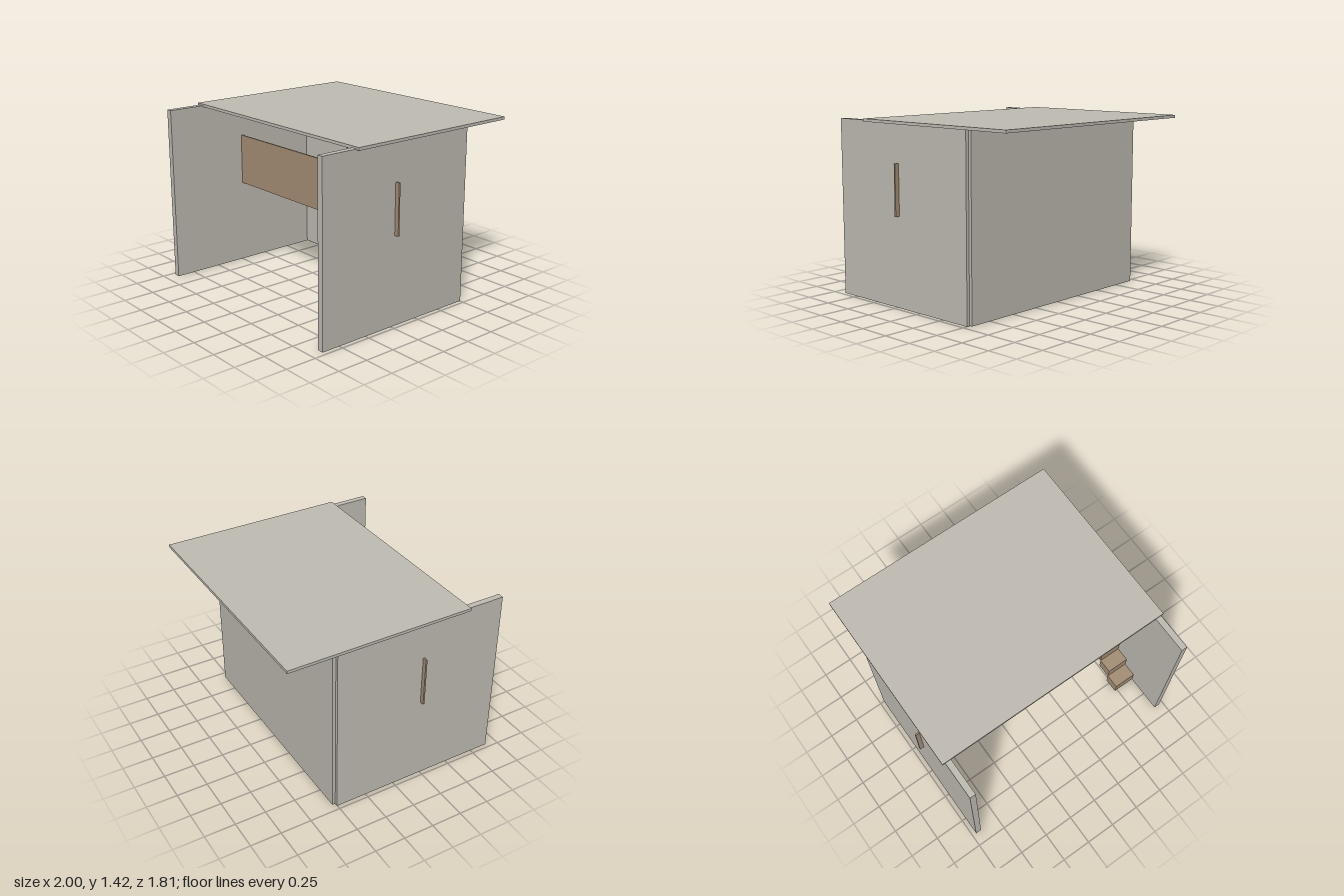
import * as THREE from 'three';

export function createModel() {
  const model = new THREE.Group();
  const plaster = new THREE.MeshStandardMaterial({ color: 0xc0bcb3 });
  plaster.name = 'warm grey plaster';
  const wood = new THREE.MeshStandardMaterial({ color: 0xa58f76 });
  wood.name = 'brown wood';

  // Box given by its minimum and maximum on each axis
  function block(name, material, [x0, x1], [y0, y1], [z0, z1], parent = model) {
    const mesh = new THREE.Mesh(new THREE.BoxGeometry(x1 - x0, y1 - y0, z1 - z0), material);
    mesh.position.set((x0 + x1) / 2, (y0 + y1) / 2, (z0 + z1) / 2);
    mesh.name = name;
    parent.add(mesh);
    return mesh;
  }

  // Shell: two side walls, back wall and overhanging roof, open at the front and below
  block('leftWall', plaster, [0.916, 0.965], [0, 1.412], [-0.505, 0.903]);
  block('rightWall', plaster, [-0.965, -0.916], [0, 1.412], [-0.505, 0.903]);
  block('backWall', plaster, [-0.94, 0.94], [0.003, 1.405], [-0.53, -0.482]);
  block('roof', plaster, [-0.988, 0.985], [1.402, 1.425], [-0.905, 0.598]);

  // Loft floor and the parapet that passes through both side walls
  block('loftFloor', wood, [-0.916, 0.916], [0.69, 0.71], [-0.482, 0.226]);
  block('parapet', wood, [-1, 1], [0.71, 1.11], [0.214, 0.227]);

  // Stair of six stacked blocks climbing towards the back
  const stairs = new THREE.Group();
  stairs.name = 'stairs';
  model.add(stairs);
  const rise = 0.118, run = 0.12;
  for (let i = 0; i < 6; i++) {
    const front = 0.585 - i * run;
    const top = Math.min((i + 1) * rise, 0.69);
    block('step' + (i + 1), wood, [0.728, 0.916], [i * rise, top], [front - run, front], stairs);
  }

  // Small standing figure on the loft
  const figure = new THREE.Group();
  figure.name = 'figure';
  figure.position.set(0, 0.71, -0.17);
  model.add(figure);

  function lathe(name, points, x = 0, depth = 1) {
    const profile = points.map(([r, y]) => new THREE.Vector2(r, y));
    const mesh = new THREE.Mesh(new THREE.LatheGeometry(profile, 16), plaster);
    mesh.position.x = x;
    mesh.scale.z = depth;
    mesh.name = name;
    figure.add(mesh);
  }
  lathe('head', [[0, 0.396], [0.012, 0.4], [0.02, 0.418], [0.024, 0.44], [0.019, 0.46], [0.01, 0.469], [0, 0.472]]);
  lathe('neck', [[0.012, 0.37], [0.011, 0.405]]);
  lathe('torso', [[0, 0.22], [0.036, 0.225], [0.034, 0.29], [0.045, 0.355], [0.03, 0.38], [0, 0.388]], 0, 0.55);
  for (const side of [-1, 1]) {
    lathe('leg', [[0, 0], [0.013, 0], [0.018, 0.12], [0.02, 0.23], [0, 0.24]], side * 0.02);
    lathe('arm', [[0, 0.2], [0.008, 0.205], [0.011, 0.29], [0.012, 0.36], [0, 0.372]], side * 0.052);
    block('foot', plaster, [side * 0.02 - 0.013, side * 0.02 + 0.013], [0, 0.015], [-0.015, 0.04], figure);
  }

  return model;
}
